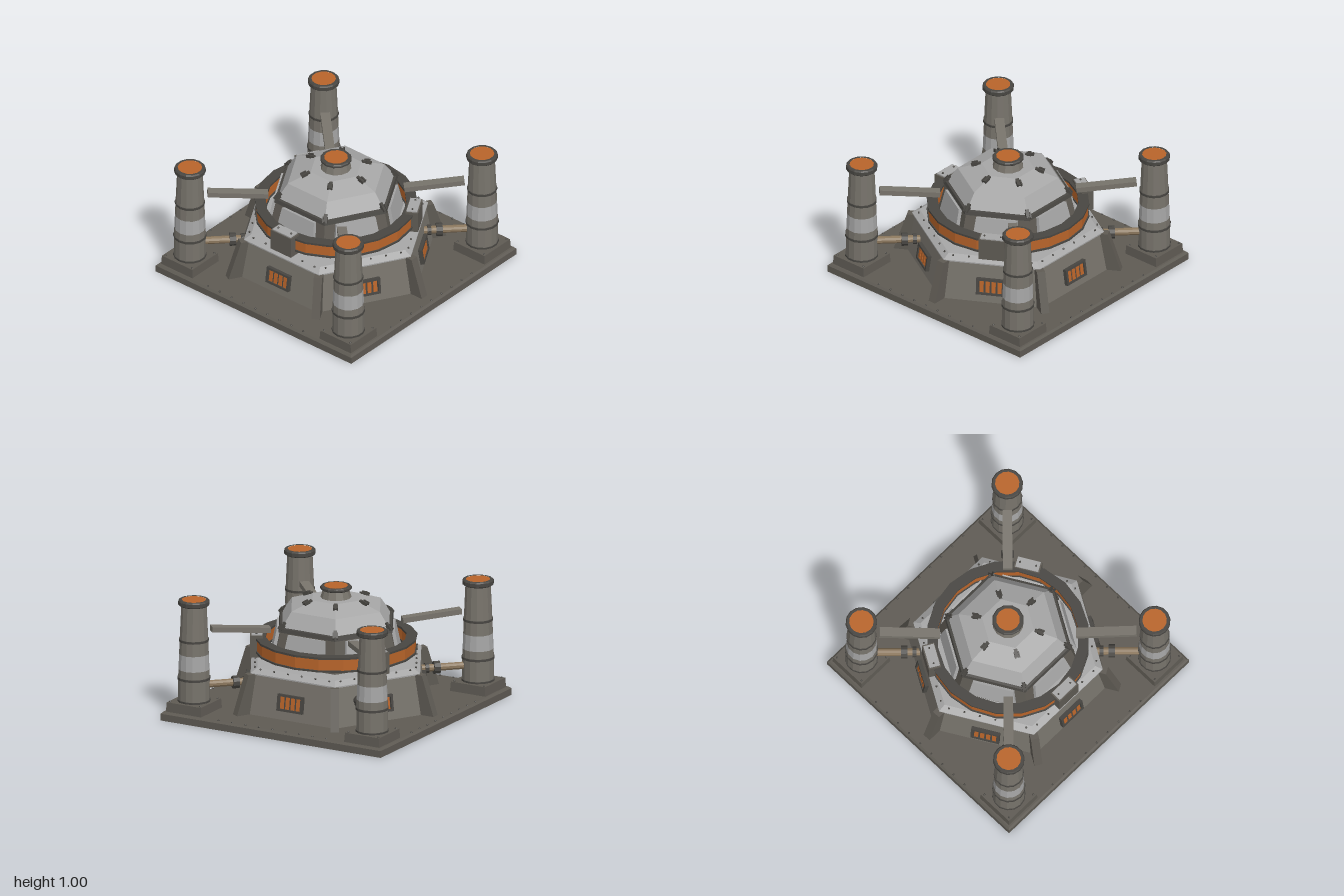
import * as THREE from 'three';

const mat = (color, flat = true) => new THREE.MeshStandardMaterial({ color, flatShading: flat });
const STONE = mat(0x5e5a53), METAL = mat(0x77736b), DARK = mat(0x484642), LIGHT = mat(0xa6a6a6);
const ORANGE = mat(0xb8642a), PIPE = mat(0x8a765c);

function add(parent, name, geo, material, x = 0, y = 0, z = 0) {
  const m = new THREE.Mesh(geo, material);
  m.name = name;
  m.position.set(x, y, z);
  parent.add(m);
  return m;
}
const box = (w, h, d) => new THREE.BoxGeometry(w, h, d);
const cyl = (rt, rb, h, n) => new THREE.CylinderGeometry(rt, rb, h, n);
const lathe = (pts, n) => new THREE.LatheGeometry(pts.map(p => new THREE.Vector2(...p)), n);
// Six-sided solid of revolution with corners on the x axis
const hex = pts => lathe(pts, 6).rotateY(Math.PI / 2);

function pivot(parent, name, angle) {
  const g = new THREE.Group();
  g.name = name;
  g.rotation.y = angle;
  parent.add(g);
  return g;
}
const rivetGeo = new THREE.IcosahedronGeometry(0.009, 0);
const rivet = (parent, x, y, z) => add(parent, 'rivet', rivetGeo, DARK, x, y, z);

function buildBase(root) {
  add(root, 'baseSlab', box(2, 0.055, 2), STONE, 0, 0.0275, 0);
  const bevel = cyl(0.985 * Math.SQRT2, Math.SQRT2, 0.015, 4).rotateY(Math.PI / 4);
  add(root, 'baseBevel', bevel, STONE, 0, 0.0625, 0);
  for (let s = 0; s < 4; s++) {
    const edge = pivot(root, 'baseEdgeRivets', s * Math.PI / 2);
    for (let i = -4; i <= 4; i++) rivet(edge, i * 0.122, 0.072, 0.975);
  }
}

function buildBunker(root) {
  add(root, 'bunkerWall', hex([[0.81, 0.07], [0.755, 0.39]]), METAL);
  add(root, 'bunkerRoof', hex([[0.765, 0.385], [0.765, 0.395], [0.705, 0.43], [0.5, 0.437]]), LIGHT);

  // Leaning buttress, drawn in the radial plane
  const s = new THREE.Shape();
  s.moveTo(0.6, 0.07);
  s.lineTo(0.905, 0.07);
  s.lineTo(0.80, 0.39);
  s.lineTo(0.6, 0.39);
  const buttress = new THREE.ExtrudeGeometry(s, { depth: 0.066, bevelEnabled: false }).translate(0, 0, -0.033);

  for (let i = 0; i < 6; i++) {
    const corner = pivot(root, 'corner', i * Math.PI / 3);
    add(corner, 'buttress', buttress, STONE);

    const face = pivot(root, 'wallFace', i * Math.PI / 3);
    // Vent lying on the sloped wall
    const vent = new THREE.Group();
    vent.name = 'vent';
    vent.position.set(0, 0.208, 0.688);
    vent.rotation.x = -0.147;
    face.add(vent);
    add(vent, 'ventBack', box(0.2, 0.12, 0.02), DARK);
    for (const k of [-1, 1]) {
      add(vent, 'ventFrameRail', box(0.23, 0.018, 0.045), DARK, 0, k * 0.058, 0.002);
      add(vent, 'ventFramePost', box(0.02, 0.135, 0.045), DARK, k * 0.105, 0, 0.002);
    }
    for (let k = 0; k < 4; k++) add(vent, 'ventGlow', box(0.032, 0.096, 0.012), ORANGE, (k - 1.5) * 0.048, 0, 0.011);
    for (let k = 0; k < 6; k++) rivet(face, (k - 2.5) * 0.125, 0.425, 0.63);
  }
}

function buildRing(root) {
  const band = (r0, r1, y0, y1) => lathe([[r0, y0], [r1, y0], [r1, y1], [r0, y1], [r0, y0]], 20);
  add(root, 'ringBand', band(0.56, 0.628, 0.485, 0.58), ORANGE);
  add(root, 'ringLowerRim', band(0.553, 0.638, 0.473, 0.488), DARK);
  add(root, 'ringUpperRim', band(0.553, 0.638, 0.577, 0.594), DARK);
  for (let i = 0; i < 3; i++) {
    const g = pivot(root, 'ringClamp', i * Math.PI * 2 / 3);
    add(g, 'clampBody', box(0.208, 0.175, 0.1), STONE, 0, 0.525, 0.62);
    add(g, 'clampPlate', box(0.185, 0.012, 0.085), LIGHT, 0, 0.615, 0.618);
    for (const x of [-0.065, 0.065]) rivet(g, x, 0.624, 0.62);
  }
}

function buildDome(root) {
  add(root, 'domeDrum', hex([[0.56, 0.43], [0.55, 0.48], [0.5, 0.69]]), STONE);
  add(root, 'domeEave', hex([[0.49, 0.685], [0.515, 0.69], [0.505, 0.72], [0.48, 0.725]]), DARK);
  add(root, 'domeShell', hex([[0.49, 0.715], [0.4, 0.84], [0.21, 0.905], [0, 0.905]]), LIGHT);
  add(root, 'domeNeck', cyl(0.1, 0.125, 0.08, 12), METAL, 0, 0.935, 0);
  add(root, 'domeCap', lathe([[0.1, 0.968], [0.115, 0.968], [0.125, 0.976], [0.125, 0.99], [0.117, 0.998], [0.092, 0.998]], 12), DARK);
  add(root, 'domeLamp', cyl(0.094, 0.094, 0.03, 12), ORANGE, 0, 0.985, 0);

  // Sloped window panel: narrower at the top
  const panel = box(0.38, 0.2, 0.028);
  const p = panel.attributes.position;
  for (let i = 0; i < p.count; i++) if (p.getY(i) > 0) p.setX(i, p.getX(i) * 0.86);
  panel.computeVertexNormals();

  for (let i = 0; i < 6; i++) {
    const face = pivot(root, 'domeFace', i * Math.PI / 3);
    add(face, 'windowPanel', panel, LIGHT, 0, 0.585, 0.468).rotation.x = -0.2;

    // Small forked lugs on the ridges
    const ridge = pivot(root, 'domeRidge', i * Math.PI / 3 + Math.PI / 6);
    for (const [r, y, tilt] of [[0.25, 0.893, 0.33], [0.475, 0.735, 0.9]]) {
      const lug = new THREE.Group();
      lug.name = 'ridgeLug';
      lug.position.set(0, y, r);
      lug.rotation.x = tilt;
      ridge.add(lug);
      add(lug, 'lugBase', box(0.026, 0.022, 0.07), DARK);
      for (const k of [-1, 1]) add(lug, 'lugFork', box(0.011, 0.034, 0.05), DARK, k * 0.015, 0.004, 0.014);
    }
  }
}

function buildTower(root, sx, sz) {
  const g = new THREE.Group();
  g.name = 'tower';
  g.position.set(sx * 0.81, 0, sz * 0.81);
  root.add(g);
  add(g, 'pedestal', cyl(0.31 / Math.SQRT2, 0.32 / Math.SQRT2, 0.075, 4).rotateY(Math.PI / 4), STONE, 0, 0.1075, 0);
  for (const x of [-0.135, 0.135]) for (const z of [-0.135, 0.135]) rivet(g, x, 0.147, z);

  // Tapered shaft in three stretches, the middle one pale
  const radius = y => y < 0.34 ? 0.125 : 0.125 - (y - 0.34) * 0.04;
  const shaft = (name, y0, y1, m) => add(g, name, cyl(radius(y1), radius(y0), y1 - y0, 14), m, 0, (y0 + y1) / 2, 0);
  shaft('shaftFoot', 0.14, 0.33, METAL);
  shaft('shaftLower', 0.33, 0.405, METAL);
  shaft('shaftPaleBand', 0.405, 0.53, LIGHT);
  shaft('shaftMiddle', 0.53, 0.64, METAL);
  add(g, 'shaftUpper', cyl(0.1, 0.113, 0.29, 14), METAL, 0, 0.785, 0);
  for (const y of [0.15, 0.333, 0.642]) add(g, 'shaftHoop', cyl(radius(y) + 0.006, radius(y) + 0.006, 0.018, 14), DARK, 0, y, 0);
  add(g, 'towerCap', lathe([[0.1, 0.922], [0.115, 0.922], [0.124, 0.93], [0.124, 0.958], [0.116, 0.968], [0.096, 0.968]], 14), DARK);
  add(g, 'towerLamp', cyl(0.098, 0.098, 0.03, 14), ORANGE, 0, 0.951, 0);

  // Beam and pipe reaching towards the centre
  const arm = pivot(root, 'towerLink', Math.atan2(sx, sz));
  add(arm, 'beam', box(0.075, 0.042, 0.475), METAL, 0, 0.7, 0.77).rotation.x = -0.083;
  add(arm, 'pipe', cyl(0.03, 0.03, 0.4, 10).rotateX(Math.PI / 2), PIPE, 0, 0.27, 0.87);
  add(arm, 'pipeFlange', cyl(0.052, 0.052, 0.05, 10).rotateX(Math.PI / 2), DARK, 0, 0.27, 0.81);
  add(arm, 'pipeCollar', cyl(0.042, 0.042, 0.03, 10).rotateX(Math.PI / 2), DARK, 0, 0.27, 0.73);
}

export function createModel() {
  const root = new THREE.Group();
  root.name = 'fortifiedDome';
  buildBase(root);
  buildBunker(root);
  buildRing(root);
  buildDome(root);
  for (const sx of [-1, 1]) for (const sz of [-1, 1]) buildTower(root, sx, sz);
  return root;
}
